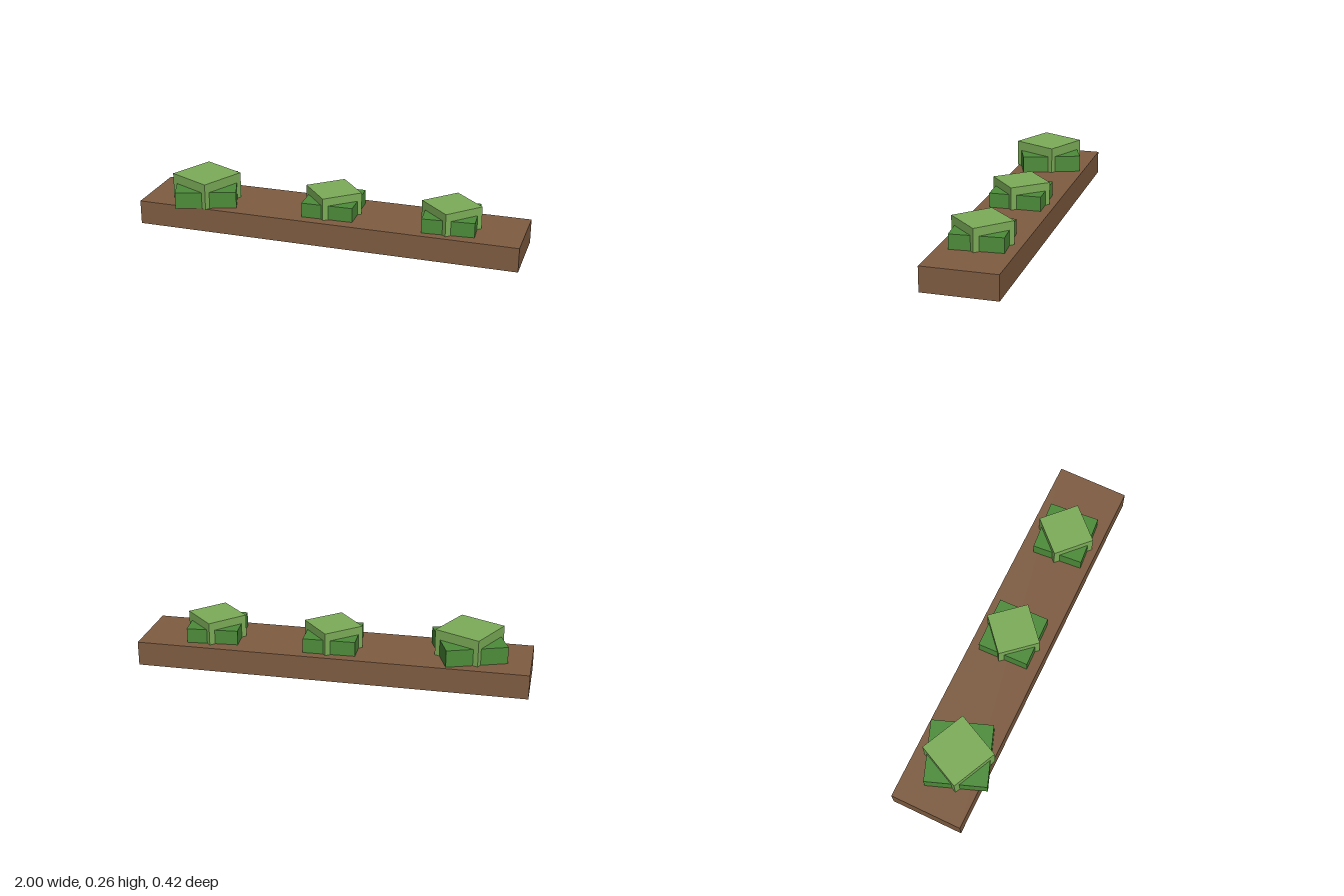
import * as THREE from 'three';

const material = (name, color) =>
  new THREE.MeshStandardMaterial({ name, color, side: THREE.DoubleSide });

// Box without its underside, standing on y = 0
function openBox(w, h, d) {
  const geometry = new THREE.BoxGeometry(w, h, d).translate(0, h / 2, 0);
  const index = Array.from(geometry.index.array);
  index.splice(18, 6); // the bottom face
  geometry.setIndex(index);
  geometry.clearGroups();
  return geometry;
}

export function createModel() {
  const model = new THREE.Group();
  model.name = 'plantedBed';

  const soil = material('soilBrown', 0x7f5c41);
  const darkLeaf = material('darkLeafGreen', 0x4d8c3a);
  const lightLeaf = material('lightLeafGreen', 0x7cad58);

  const bedHeight = 0.126;

  function addBlock(parent, name, mat, width, height, depth, turn = 0) {
    const mesh = new THREE.Mesh(openBox(width, height, depth), mat);
    mesh.name = name;
    mesh.rotation.y = THREE.MathUtils.degToRad(turn);
    parent.add(mesh);
    return mesh;
  }

  // Soil bed, hollow from below
  addBlock(model, 'soilBed', soil, 2, bedHeight, 0.376).position.z = -0.022;

  // Plants: two crossed blocks each, as [size, height, turn]
  const plants = [
    { x: -0.683, z: 0.008, lower: [0.314, 0.087, 20], upper: [0.25, 0.137, -25.5] },
    { x: 0.008, z: -0.026, lower: [0.267, 0.075, 1.5], upper: [0.216, 0.117, 41] },
    { x: 0.628, z: -0.016, lower: [0.264, 0.075, 4.5], upper: [0.216, 0.117, 46] },
  ];
  plants.forEach(({ x, z, lower, upper }, i) => {
    const plant = new THREE.Group();
    plant.name = `plant${i + 1}`;
    plant.position.set(x, bedHeight, z);
    addBlock(plant, 'outerLeaves', darkLeaf, lower[0], lower[1], lower[0], lower[2]);
    addBlock(plant, 'innerLeaves', lightLeaf, upper[0], upper[1], upper[0], upper[2]);
    model.add(plant);
  });

  return model;
}
